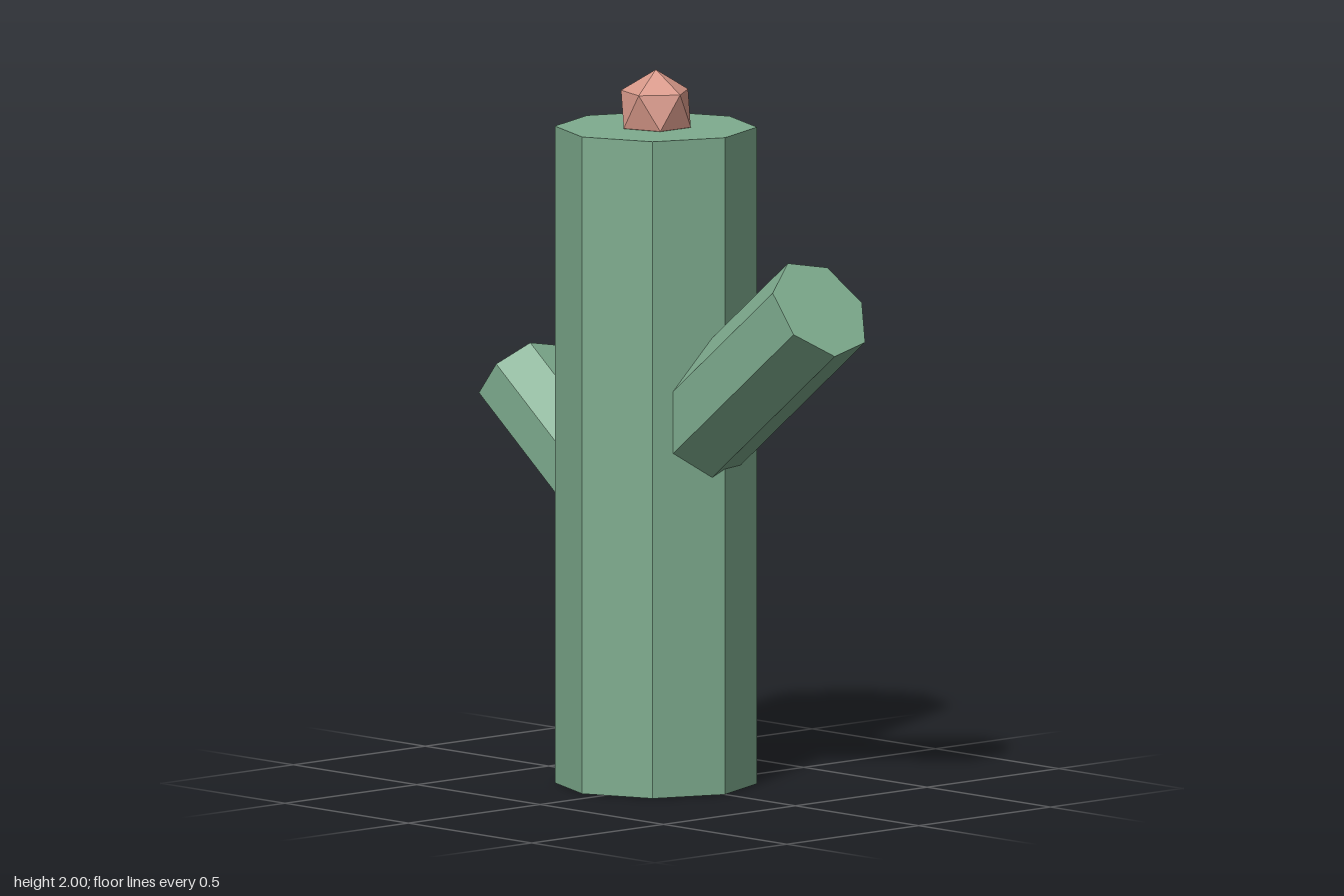
import * as THREE from 'three';

const TRUNK_X = -0.065, TRUNK_HEIGHT = 1.84, TILT = 0.9;

export function createModel() {
  const group = new THREE.Group();
  const green = new THREE.MeshStandardMaterial({ name: 'cactusGreen', color: 0x7fad8f, flatShading: true });
  const pink = new THREE.MeshStandardMaterial({ name: 'blossomPink', color: 0xd8998a, flatShading: true });

  const add = (name, geometry, material) => {
    const mesh = new THREE.Mesh(geometry, material);
    mesh.name = name;
    group.add(mesh);
    return mesh;
  };

  // Octagonal trunk
  add('trunk', new THREE.CylinderGeometry(0.28, 0.28, TRUNK_HEIGHT, 8), green)
    .position.set(TRUNK_X, TRUNK_HEIGHT / 2, 0);

  // Seven-sided arms, running from the trunk's axis out to the tip
  const addArm = (name, side, radius, tipX, tipY) => {
    const length = Math.abs(tipX - TRUNK_X) / Math.sin(TILT);
    const geometry = new THREE.CylinderGeometry(radius, radius, length, 7)
      .rotateY(Math.PI)
      .translate(0, -length / 2, 0);
    const arm = add(name, geometry, green);
    arm.position.set(tipX, tipY, 0);
    arm.rotation.z = -side * TILT;
  };
  addArm('leftArm', 1, 0.157, 0.602, 1.404);
  addArm('rightArm', -1, 0.13, -0.622, 1.085);

  // Blossom standing on one point, sunk into the trunk top
  const blossom = add('blossom', new THREE.IcosahedronGeometry(0.11, 0), pink);
  blossom.rotation.z = -Math.atan(2 / (1 + Math.sqrt(5)));
  blossom.position.set(TRUNK_X, 1.89, 0);

  return group;
}
